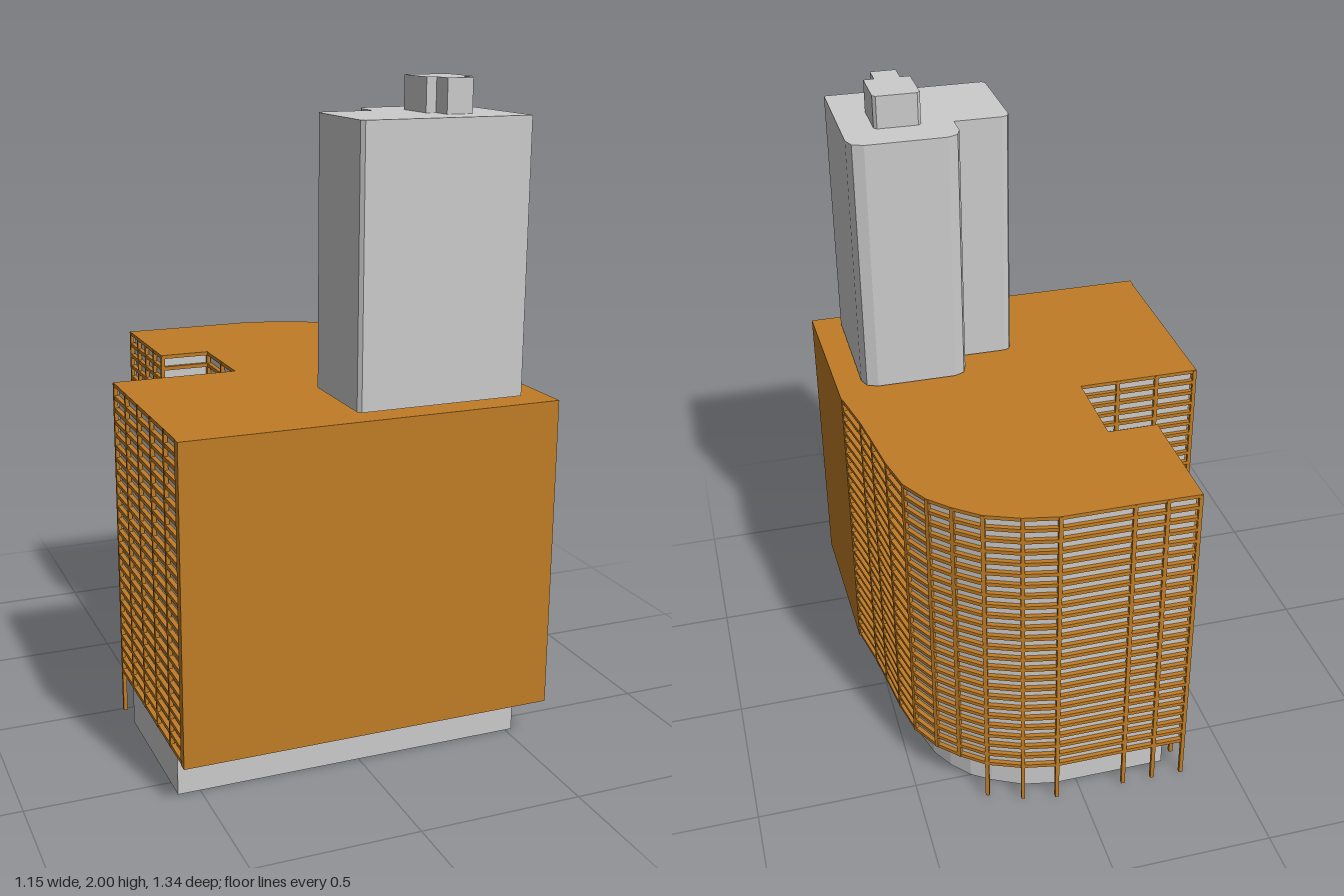
import * as THREE from 'three';

const grey = new THREE.MeshStandardMaterial({ color: 0xcccccc });
const brown = new THREE.MeshStandardMaterial({ color: 0xc07d26 });

// Plan outlines are lists of [x, z], starting at the front left corner of the plan
const plan = [
  [-0.575, 0.667], [0.575, 0.667], [0.563, 0.12], [0.533, -0.03], [0.518, -0.135],
  [0.5, -0.27], [0.474, -0.39], [0.424, -0.48], [0.365, -0.54], [0.29, -0.6],
  [0.185, -0.643], [0.08, -0.664], [-0.14, -0.664], [-0.34, -0.667],
  [-0.34, -0.28], [-0.183, -0.28], [-0.183, 0], [-0.575, 0],
];
const basePlan = [
  [-0.567, 0.572], [0.522, 0.572], [0.512, 0.1], [0.472, -0.05], [0.442, -0.26], [0.412, -0.37],
  [0.372, -0.44], [0.32, -0.5], [0.26, -0.54], [0.17, -0.585], [0.07, -0.605],
  [-0.29, -0.605], [-0.29, -0.34], [-0.12, -0.34], [-0.12, 0.1], [-0.567, 0.1],
];
// Column bays on the straight back and notch edges; every other edge has one
const bayCounts = { 12: 2, 13: 4, 15: 2, 16: 3, 17: 5 };
const BOTTOM = 0.132, TOP = 1.087, FLOORS = 24, SLAB = 0.012;

// Moves an outline inwards by a fixed distance
function inset(points, distance) {
  const n = points.length;
  const normal = (i) => {
    const [ax, az] = points[(i + n) % n], [bx, bz] = points[(i + 1) % n];
    const length = Math.hypot(bx - ax, bz - az);
    return [(bz - az) / length, (ax - bx) / length];
  };
  return points.map(([x, z], i) => {
    const a = normal(i - 1), b = normal(i);
    const k = distance / (1 + a[0] * b[0] + a[1] * b[1]);
    return [x + (a[0] + b[0]) * k, z + (a[1] + b[1]) * k];
  });
}

// Upright prism over an outline, with an optional hole (wound the other way)
function prism(name, points, y0, y1, material, hole) {
  const toVectors = (list) => list.map(([x, z]) => new THREE.Vector2(x, z));
  const shape = new THREE.Shape(toVectors(points));
  if (hole) shape.holes.push(new THREE.Path(toVectors(hole).reverse()));
  const geometry = new THREE.ExtrudeGeometry(shape, { depth: y1 - y0, bevelEnabled: false });
  geometry.rotateX(Math.PI / 2).translate(0, y1, 0);
  const mesh = new THREE.Mesh(geometry, material);
  mesh.name = name;
  return mesh;
}

export function createModel() {
  const model = new THREE.Group();
  model.name = 'building';

  // Hollow ground floor, with the recessed ceiling panel above it
  model.add(prism('groundFloorWalls', basePlan, 0, BOTTOM, grey, inset(basePlan, 0.003)));
  model.add(prism('groundFloorCeiling', [
    [-0.45, 0.45], [0.45, 0.45], [0.44, 0.05], [0.4, -0.3], [0.26, -0.48], [0.05, -0.55],
    [-0.2, -0.55], [-0.2, -0.42], [0, -0.4], [0, 0.16], [-0.45, 0.16],
  ], BOTTOM - 0.004, BOTTOM + 0.002, grey));

  // Main block: recessed grey core with a projecting slab at every floor
  model.add(prism('core', inset(plan, 0.014), BOTTOM + 0.003, TOP - 0.003, grey));
  const slabs = new THREE.Group();
  slabs.name = 'floorSlabs';
  const step = (TOP - BOTTOM - SLAB) / FLOORS;
  for (let i = 0; i <= FLOORS; i++) {
    const y = BOTTOM + i * step;
    slabs.add(prism('floorSlab', plan, y, y + SLAB, brown));
  }
  model.add(slabs);

  // Closed walls on the front and the front part of the right side
  model.add(prism('closedWalls', [
    [-0.577, 0.67], [0.578, 0.67], [0.566, 0.117], [0.535, 0.117], [0.545, 0.64], [-0.577, 0.64],
  ], BOTTOM, TOP, brown));

  // Columns along the open sides; those at the back and in the notch reach the ground
  const columns = new THREE.Group();
  columns.name = 'columns';
  const line = inset(plan, 0.005);
  for (let e = 2; e < line.length; e++) {
    const [ax, az] = line[e], [bx, bz] = line[(e + 1) % line.length];
    const bays = bayCounts[e] ?? 1;
    for (let i = 0; i < bays; i++) {
      const x = ax + (bx - ax) * i / bays, z = az + (bz - az) * i / bays;
      const grounded = z < -0.59 || (x < -0.1 && z < 0.01);
      const foot = grounded ? 0 : BOTTOM;
      const column = new THREE.Mesh(new THREE.BoxGeometry(0.012, TOP - 0.002 - foot, 0.012), brown);
      column.position.set(x, (TOP - 0.002 + foot) / 2, z);
      column.rotation.y = -Math.atan2(bz - az, bx - ax);
      column.name = 'column';
      columns.add(column);
    }
  }
  model.add(columns);

  // L-shaped tower with softened corners
  model.add(prism('tower', [
    [-0.03, 0.597], [-0.02, 0.608], [0.487, 0.608], [0.487, 0.21], [0.474, 0.175], [0.44, 0.16],
    [0.19, 0.16], [0.158, 0.175], [0.145, 0.21], [0.145, 0.282], [-0.005, 0.282], [-0.022, 0.289], [-0.03, 0.307],
  ], TOP + 0.007, 1.9, grey));

  // Rooftop plant room
  model.add(prism('plantRoom', [
    [0.275, 0.503], [0.355, 0.503], [0.355, 0.434], [0.388, 0.434], [0.388, 0.29], [0.379, 0.28],
    [0.254, 0.28], [0.244, 0.29], [0.244, 0.434], [0.275, 0.434],
  ], 1.9, 2, grey));

  return model;
}
